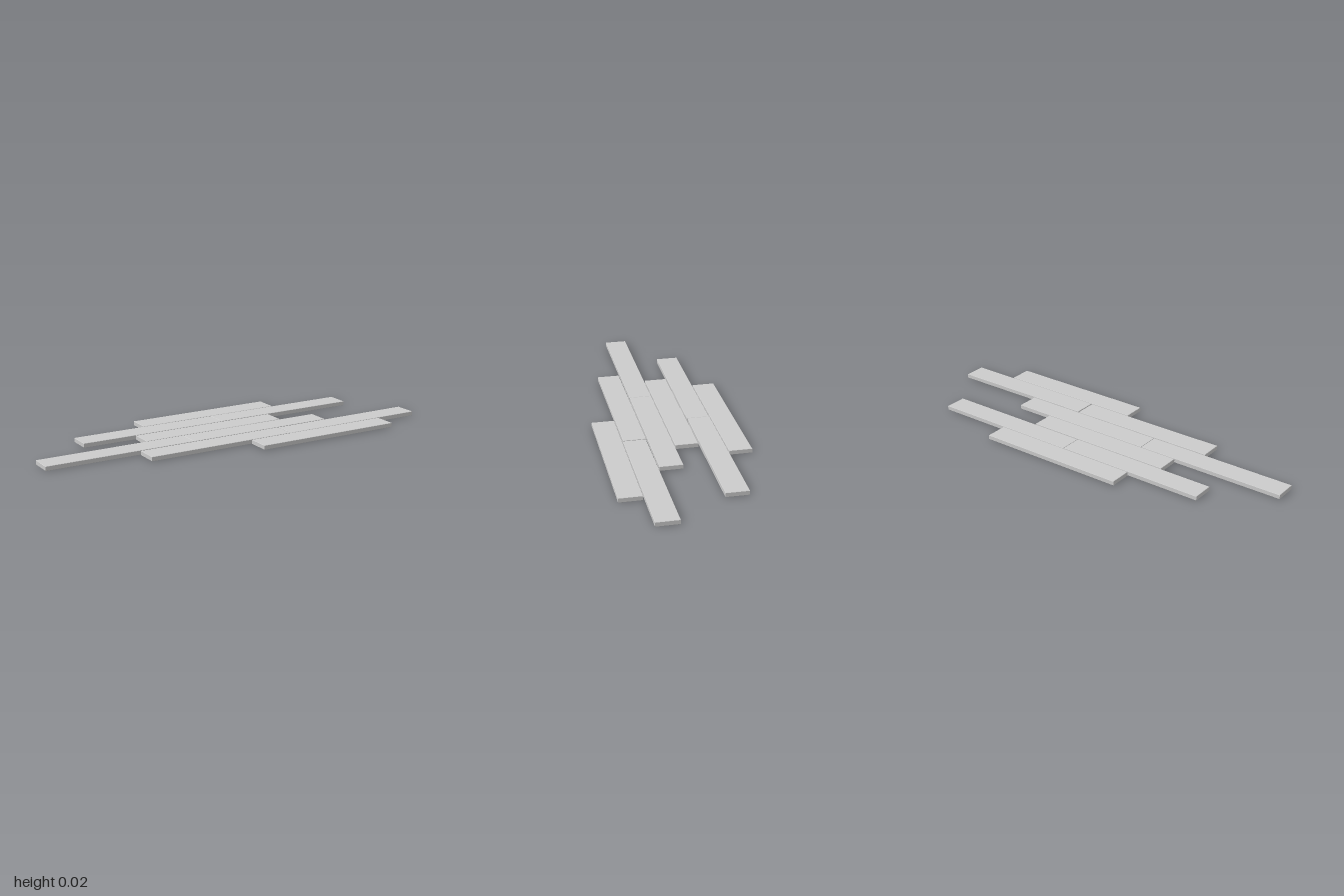
import * as THREE from 'three';

const LENGTH = 0.761, WIDTH = 0.111, HEIGHT = 0.022, BEVEL = 0.0015;

// Board lying flat, standing on y = 0, with finely chamfered top and bottom edges
function plankGeometry() {
  const x = LENGTH / 2 - BEVEL, z = WIDTH / 2 - BEVEL;
  const outline = new THREE.Shape([
    new THREE.Vector2(-x, -z), new THREE.Vector2(x, -z),
    new THREE.Vector2(x, z), new THREE.Vector2(-x, z),
  ]);
  const geometry = new THREE.ExtrudeGeometry(outline, {
    depth: HEIGHT - 2 * BEVEL,
    bevelEnabled: true, bevelSize: BEVEL, bevelThickness: BEVEL, bevelSegments: 1,
  });
  return geometry.rotateX(-Math.PI / 2).translate(0, BEVEL, 0);
}

export function createModel() {
  const group = new THREE.Group();
  group.name = 'floorPlanks';
  const material = new THREE.MeshStandardMaterial({ color: 0xcccccc, flatShading: true });
  const geometry = plankGeometry();

  // Rows from back to front: plank centres along x and a slight skew
  const rows = [
    { z: -0.292, xs: [0.053], skew: 0 },
    { z: -0.176, xs: [-0.325, 0.437], skew: -0.003 },
    { z: -0.058, xs: [-0.053], skew: 0 },
    { z: 0.058, xs: [-0.619, 0.143], skew: 0 },
    { z: 0.176, xs: [-0.147, 0.619], skew: 0.003 },
    { z: 0.292, xs: [0.39], skew: 0 },
  ];
  rows.forEach(({ z, xs, skew }, row) => xs.forEach((x, i) => {
    const plank = new THREE.Mesh(geometry, material);
    plank.name = `plankRow${row + 1}Board${i + 1}`;
    plank.position.set(x, 0, z);
    plank.rotation.y = skew;
    group.add(plank);
  }));
  return group;
}
